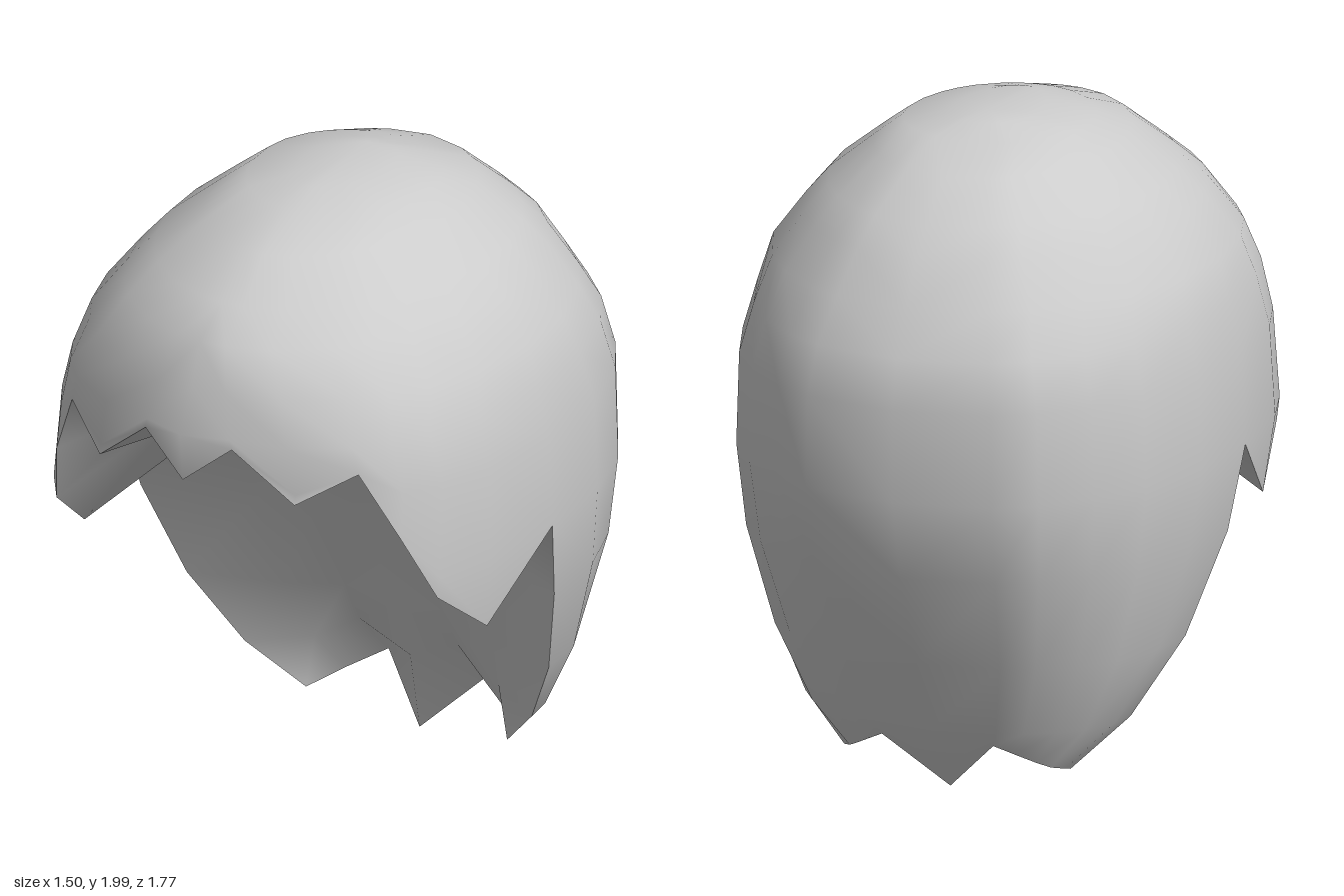
import * as THREE from 'three';
import { mergeVertices } from 'three/addons/utils/BufferGeometryUtils.js';

// Cross-sections from crown to nape: [y, half width, front z, widest z, back z]
const RINGS = [
  [2.0, 0, -0.12, -0.12, -0.12],
  [1.98, 0.13, 0.2, -0.05, -0.2],
  [1.95, 0.28, 0.32, -0.03, -0.3],
  [1.89, 0.36, 0.52, 0, -0.47],
  [1.78, 0.5, 0.66, 0.02, -0.6],
  [1.7, 0.57, 0.78, 0.03, -0.69],
  [1.57, 0.67, 0.82, 0.04, -0.77],
  [1.44, 0.7, 0.85, 0.04, -0.85],
  [1.29, 0.742, 0.835, 0.04, -0.88],
  [1.01, 0.752, 0.89, 0.04, -0.882],
  [0.76, 0.72, 0.92, -0.02, -0.82],
  [0.46, 0.63, 0.6, -0.13, -0.68],
  [0.23, 0.5, 0.4, -0.24, -0.565],
  [0.08, 0.35, 0.2, -0.34, -0.46],
  [0.01, 0.28, 0.1, -0.37, -0.41],
];

// Jagged hem as [angle from the front, height]
const SIDE = Math.PI / 2;
const FRONT_HEM = [[0, 1.29], [0.144, 1.41], [0.384, 1.26], [0.68, 1.36], [0.862, 1.15],
  [1.05, 0.94], [1.295, 0.78], [SIDE, 1.01]];
const BACK_HEM = [[SIDE, 0.08], [1.85, 0.09], [2.14, 0.1], [2.37, 0.12], [2.6, 0.15],
  [2.78, 0.18], [Math.PI, 0.01]];

// Point on the shell, slightly squarish low down and round near the crown
function shellPoint([angle, y]) {
  let i = 0;
  while (i < RINGS.length - 2 && RINGS[i + 1][0] > y) i++;
  const a = RINGS[i], b = RINGS[i + 1];
  const t = (a[0] - y) / (a[0] - b[0]);
  const [, w, zf, zc, zb] = a.map((v, k) => v + (b[k] - v) * t);
  const s = Math.abs(Math.sin(angle)), c = Math.cos(angle);
  const power = Math.min(1, (c > 0 ? 0.8 : 0.91) + Math.max(0, y - 1.42) * 0.8);
  const ridge = angle === 0 && y < 1.5 ? 0.037 : 0; // middle fringe strand stands proud
  const z = zc + ((c > 0 ? zf : zb) - zc) * Math.pow(Math.abs(c), power) + ridge;
  return [w * Math.pow(s, power), y, z];
}

// Underside of the hair: rows from fringe to nape, each from the middle out to the hem
const INSIDE = [
  FRONT_HEM.slice(0, 4).map(shellPoint),
  [[0, 1.29, 0.52], [0.16, 1.31, 0.52], [0.38, 1.27, 0.46], shellPoint(FRONT_HEM[4])],
  [[0, 1.21, 0.3], [0.17, 1.22, 0.3], [0.38, 1.2, 0.27], shellPoint(FRONT_HEM[5])],
  [[0, 1.1, 0.13], [0.18, 1.11, 0.13], [0.35, 1.12, 0.1], shellPoint(FRONT_HEM[6])],
  [[0, 0.97, 0.02], [0.18, 0.98, 0.02], [0.35, 1.12, 0.1], shellPoint(FRONT_HEM[7])],
  [[0, 0.76, -0.12], [0.18, 0.76, -0.11], [0.36, 0.78, -0.08], shellPoint([SIDE, 0.76])],
  [[0, 0.46, -0.28], [0.17, 0.48, -0.27], [0.35, 0.46, -0.22], shellPoint([SIDE, 0.46])],
  [[0, 0.26, -0.36], [0.17, 0.34, -0.35], [0.32, 0.25, -0.34], shellPoint([SIDE, 0.23])],
  [6, 5, 3, 0].map((k) => shellPoint(BACK_HEM[k])),
];

function pushTriangle(out, side, a, b, c) {
  for (const p of side > 0 ? [a, b, c] : [a, c, b]) out.push(p[0] * side, p[1], p[2]);
}

// Outer shell: every column stops where it meets the hem
function addShellHalf(out, side) {
  for (const hem of [FRONT_HEM, BACK_HEM]) {
    for (let j = 0; j < hem.length - 1; j++) {
      const [a0, h0] = hem[j], [a1, h1] = hem[j + 1];
      for (let i = 0; i < RINGS.length - 1; i++) {
        const top = RINGS[i][0], low = RINGS[i + 1][0];
        const A = shellPoint([a0, Math.max(top, h0)]), B = shellPoint([a0, Math.max(low, h0)]);
        const C = shellPoint([a1, Math.max(low, h1)]), D = shellPoint([a1, Math.max(top, h1)]);
        if (A[1] > B[1]) pushTriangle(out, side, A, B, C);
        if (i > 0 && D[1] > C[1]) pushTriangle(out, side, A, C, D);
      }
    }
  }
}

// The fringe row is split the other way so that it stays behind the hem
function addInsideHalf(out, side) {
  for (let r = 0; r < INSIDE.length - 1; r++) {
    for (let c = 0; c < 3; c++) {
      const A = INSIDE[r][c], B = INSIDE[r + 1][c], C = INSIDE[r + 1][c + 1], D = INSIDE[r][c + 1];
      pushTriangle(out, side, A, B, r === 0 ? D : C);
      pushTriangle(out, side, r === 0 ? B : A, C, D);
    }
  }
}

export function createModel() {
  const group = new THREE.Group();
  const material = new THREE.MeshStandardMaterial({ color: 0xcccccc, side: THREE.DoubleSide });

  // Both halves are joined so the shading runs smoothly across the middle
  const add = (name, addHalf) => {
    const points = [];
    for (const side of [1, -1]) addHalf(points, side);
    const geometry = new THREE.BufferGeometry();
    geometry.setAttribute('position', new THREE.Float32BufferAttribute(points, 3));
    const merged = mergeVertices(geometry, 1e-4);
    merged.computeVertexNormals();
    const mesh = new THREE.Mesh(merged, material);
    mesh.name = name;
    group.add(mesh);
  };

  add('hairShell', addShellHalf);
  add('hairUnderside', addInsideHalf);
  return group;
}
